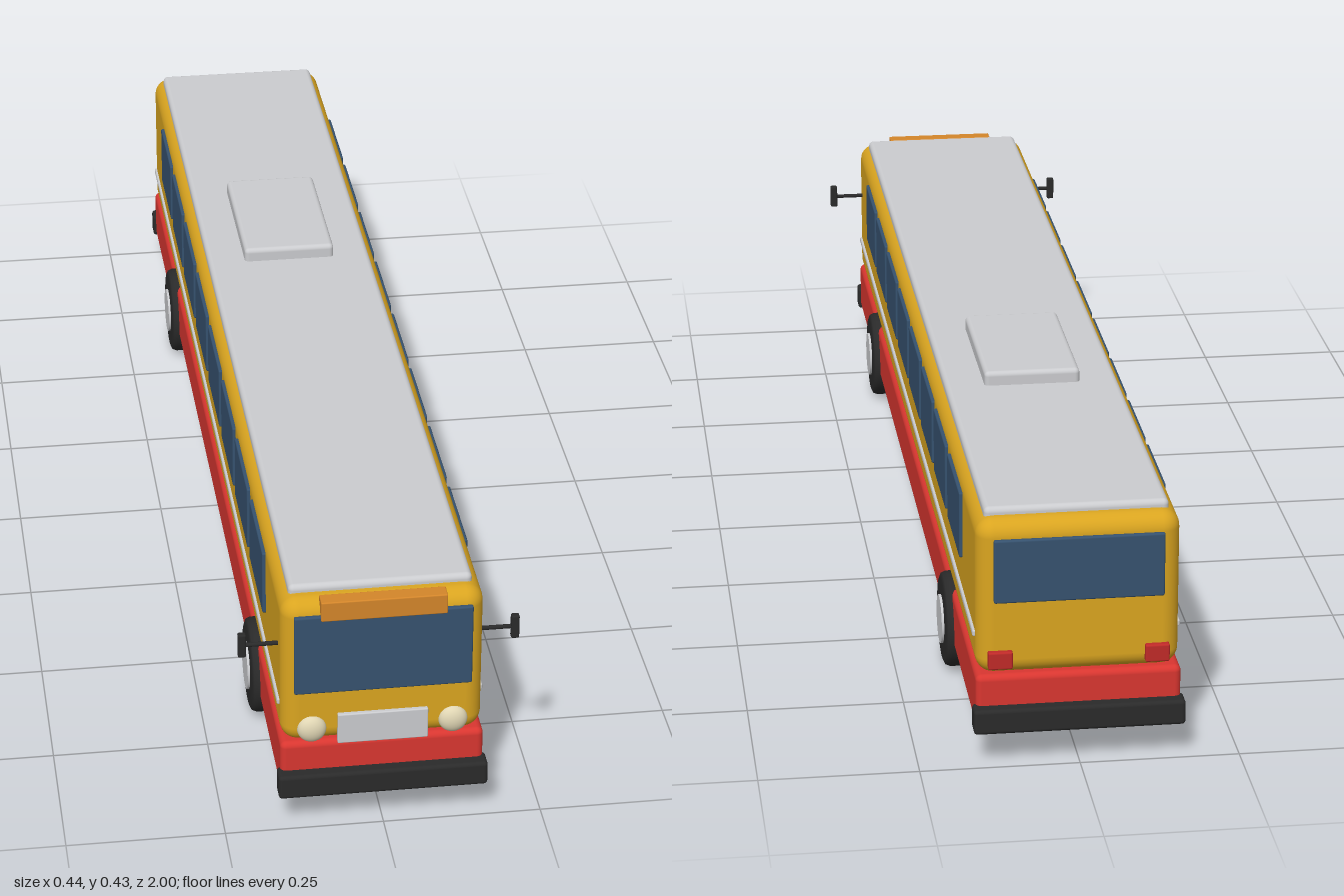
import * as THREE from 'three';
import { RoundedBoxGeometry } from 'three/addons/geometries/RoundedBoxGeometry.js';

const mat = (name, color) => {
  const m = new THREE.MeshStandardMaterial({ color });
  m.name = name;
  return m;
};

export function createModel() {
  const bus = new THREE.Group();
  bus.name = 'cityBus';

  const yellow = mat('bodyYellow', 0xdaa520);
  const red = mat('skirtRed', 0xd93630);
  const black = mat('rubberBlack', 0x2a2a2a);
  const glass = mat('glassBlue', 0x36526f);
  const silver = mat('silver', 0xcbcccf);
  const orange = mat('signOrange', 0xd4862a);
  const cream = mat('lampCream', 0xe0d6b4);
  const tailRed = mat('tailLampRed', 0xc02a28);

  const add = (name, geometry, material, x = 0, y = 0, z = 0) => {
    const mesh = new THREE.Mesh(geometry, material);
    mesh.name = name;
    mesh.position.set(x, y, z);
    bus.add(mesh);
    return mesh;
  };
  // Rounded box given by its limits: centre x, y range, z range
  const slab = (name, material, w, y0, y1, z0, z1, r, x = 0) =>
    add(name, new RoundedBoxGeometry(w, y1 - y0, z1 - z0, 4, r), material,
      x, (y0 + y1) / 2, (z0 + z1) / 2);

  // Shell
  slab('body', yellow, 0.316, 0.143, 0.4, -0.975, 0.978, 0.028);
  slab('skirt', red, 0.32, 0.058, 0.147, -0.98, 0.98, 0.01);
  slab('roof', silver, 0.286, 0.385, 0.412, -0.945, 0.945, 0.009);
  slab('roofUnit', silver, 0.158, 0.4, 0.435, -0.425, -0.142, 0.008);
  slab('frontBumper', black, 0.33, 0.056, 0.097, 0.965, 1, 0.006);
  slab('rearBumper', black, 0.33, 0.056, 0.097, -1, -0.965, 0.006);

  // Front and rear fittings
  slab('windscreen', glass, 0.278, 0.239, 0.378, 0.976, 0.985, 0.003);
  slab('rearWindow', glass, 0.264, 0.268, 0.372, -0.982, -0.973, 0.003);
  slab('destinationSign', orange, 0.196, 0.371, 0.405, 0.962, 0.988, 0.002);
  slab('frontPanel', silver, 0.142, 0.144, 0.197, 0.972, 0.985, 0.002);

  // Tyre and hub profiles, turned about the axle
  const tyreGeo = new THREE.LatheGeometry([
    [0.03, -0.026], [0.068, -0.026], [0.075, -0.023], [0.078, -0.016],
    [0.078, 0.016], [0.075, 0.023], [0.068, 0.026], [0.03, 0.026],
  ].map(([r, h]) => new THREE.Vector2(r, h)), 40).rotateZ(-Math.PI / 2);
  const hubGeo = new THREE.CylinderGeometry(0.04, 0.04, 0.058, 32).rotateZ(Math.PI / 2);

  for (const [side, s] of [['left', 1], ['right', -1]]) {
    // Side windows and trim stripe
    for (let i = 0; i < 8; i++) {
      slab(side + 'Window' + (i + 1), glass, 0.009, 0.264, 0.374,
        0.612 - i * 0.2, 0.782 - i * 0.2, 0.003, s * 0.159);
    }
    slab(side + 'Stripe', silver, 0.008, 0.201, 0.212, -0.95, 0.95, 0.003, s * 0.158);

    // Wheels
    for (const [end, z] of [['Front', 0.643], ['Rear', -0.605]]) {
      add(side + end + 'Tyre', tyreGeo, black, s * 0.146, 0.079, z);
      add(side + end + 'Hub', hubGeo, silver, s * 0.147, 0.079, z);
    }

    // Lamps
    const lamp = add(side + 'Headlight', new THREE.SphereGeometry(0.023, 32, 20), cream,
      s * 0.111, 0.171, 0.977);
    lamp.scale.z = 0.6;
    slab(side + 'TailLight', tailRed, 0.038, 0.158, 0.187, -0.984, -0.968, 0.003, s * 0.122);

    // Mirror on its arm
    const arm = new THREE.CylinderGeometry(0.0035, 0.0035, 0.06, 12).rotateZ(Math.PI / 2);
    add(side + 'MirrorArm', arm, black, s * 0.182, 0.304, 0.932);
    slab(side + 'Mirror', black, 0.013, 0.284, 0.325, 0.926, 0.938, 0.003, s * 0.214);
  }
  return bus;
}
